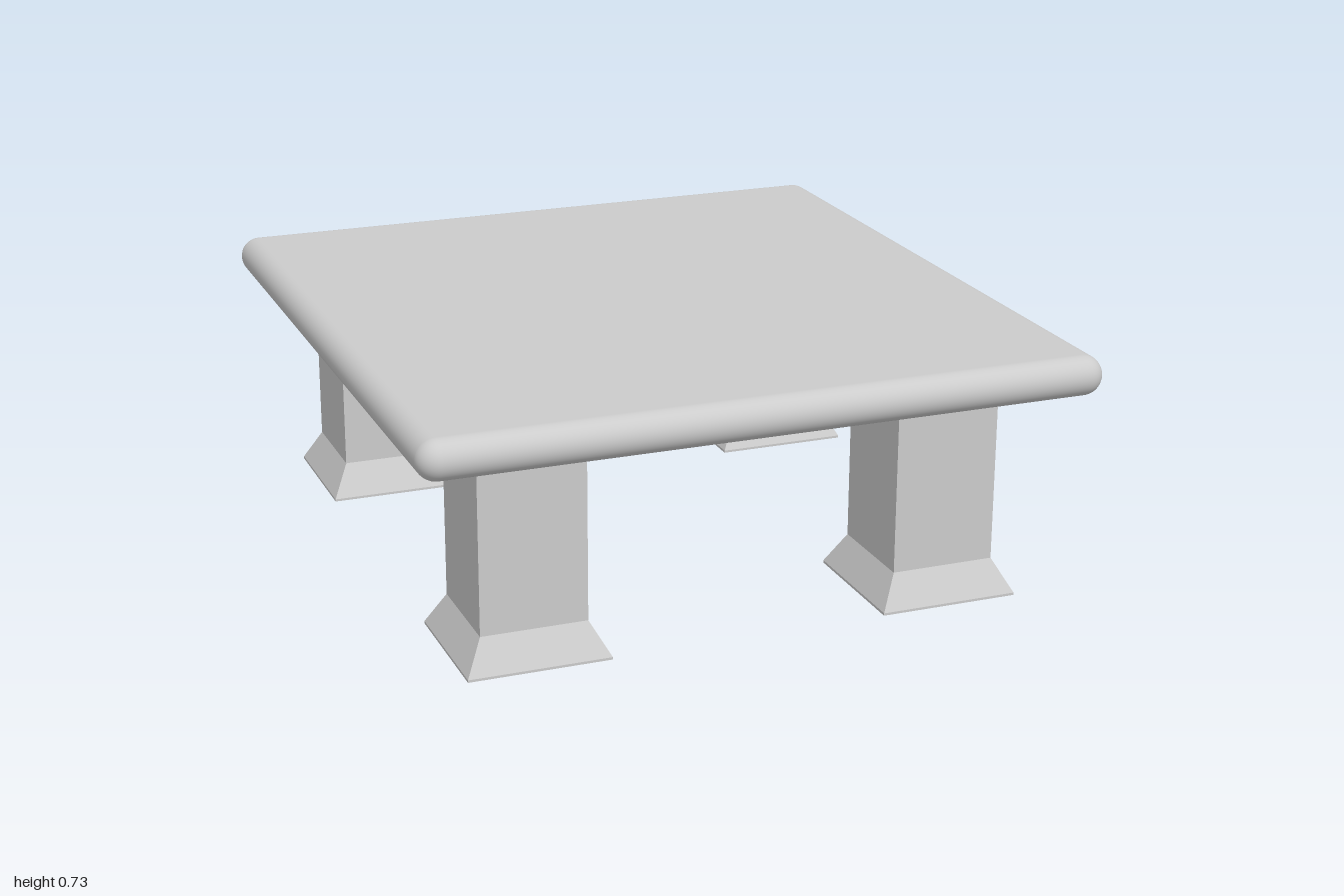
import * as THREE from 'three';
import { RoundedBoxGeometry } from 'three/addons/geometries/RoundedBoxGeometry.js';

const smooth = new THREE.MeshStandardMaterial({ color: 0xcccccc });
const flat = new THREE.MeshStandardMaterial({ color: 0xcccccc, flatShading: true });

function part(name, geometry, material, y) {
  const mesh = new THREE.Mesh(geometry, material);
  mesh.name = name;
  mesh.position.y = y;
  return mesh;
}

// Square post with a flared foot on a thin sole
function createLeg(name, x, z) {
  const width = 0.298, footWidth = 0.398;
  const soleTop = 0.007, footTop = 0.1, postTop = 0.64;

  const foot = new THREE.CylinderGeometry(
    width * Math.SQRT1_2, footWidth * Math.SQRT1_2, footTop - soleTop, 4, 1, true);
  foot.rotateY(Math.PI / 4);

  const leg = new THREE.Group();
  leg.name = name;
  leg.add(
    part('post', new THREE.BoxGeometry(width, postTop - footTop, width), flat, (postTop + footTop) / 2),
    part('flaredFoot', foot, flat, (footTop + soleTop) / 2),
    part('sole', new THREE.BoxGeometry(footWidth, soleTop, footWidth), flat, soleTop / 2),
  );
  leg.position.set(x, 0, z);
  return leg;
}

export function createModel() {
  const table = new THREE.Group();
  table.name = 'lowTable';

  // Slab with fully rounded rim
  const bottom = 0.62, top = 0.732, thickness = top - bottom;
  table.add(part('tableTop',
    new RoundedBoxGeometry(1.9, thickness, 2, 6, thickness / 2), smooth, (top + bottom) / 2));

  // Legs stand slightly unevenly
  const legs = [
    ['frontLeftLeg', 0.597, 0.62],
    ['frontRightLeg', -0.59, 0.62],
    ['backLeftLeg', 0.676, -0.705],
    ['backRightLeg', -0.59, -0.735],
  ];
  for (const [name, x, z] of legs) table.add(createLeg(name, x, z));

  return table;
}
